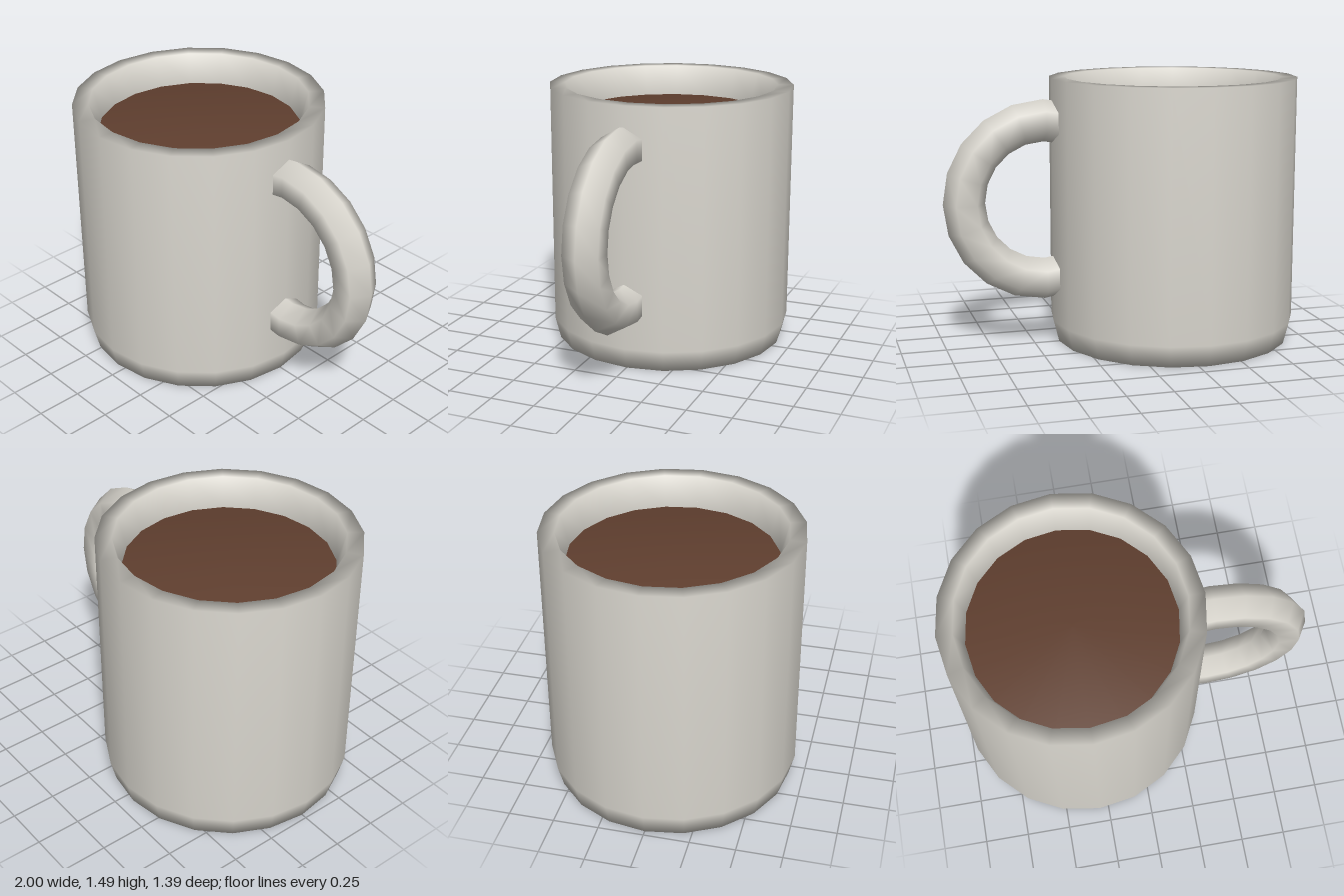
import * as THREE from 'three';

const SIDES = 20;

// Turned solid: profile runs from the bottom up the outside, then inwards
function turned(name, profile, material) {
  const points = profile.map(([r, y]) => new THREE.Vector2(r, y));
  const mesh = new THREE.Mesh(new THREE.LatheGeometry(points, SIDES), material);
  mesh.name = name;
  mesh.position.x = -0.305;
  return mesh;
}

export function createModel() {
  const ceramic = new THREE.MeshStandardMaterial({ color: 0xd8d5cd });
  ceramic.name = 'ceramic';
  const coffee = new THREE.MeshStandardMaterial({ color: 0x603f2f });
  coffee.name = 'coffee';

  const mug = new THREE.Group();
  mug.name = 'mug';

  // Cup: base, tapered foot, straight wall, flat rim and inner wall
  mug.add(turned('cup', [
    [0, 0], [0.665, 0], [0.695, 0.12], [0.695, 1.485],
    [0.607, 1.485], [0.565, 1.315], [0.565, 0.12], [0, 0.12],
  ], ceramic));

  // Drink surface just below the rim
  mug.add(turned('drink', [[0.563, 1.2], [0.563, 1.315], [0, 1.315]], coffee));

  // Six-sided loop handle whose ends sink into the wall
  const arc = Math.PI * 1.2;
  const handle = new THREE.Mesh(new THREE.TorusGeometry(0.444, 0.116, 6, 12, arc), ceramic);
  handle.name = 'handle';
  handle.rotation.z = -arc / 2;
  handle.position.set(0.44, 0.818, 0);
  mug.add(handle);

  return mug;
}
